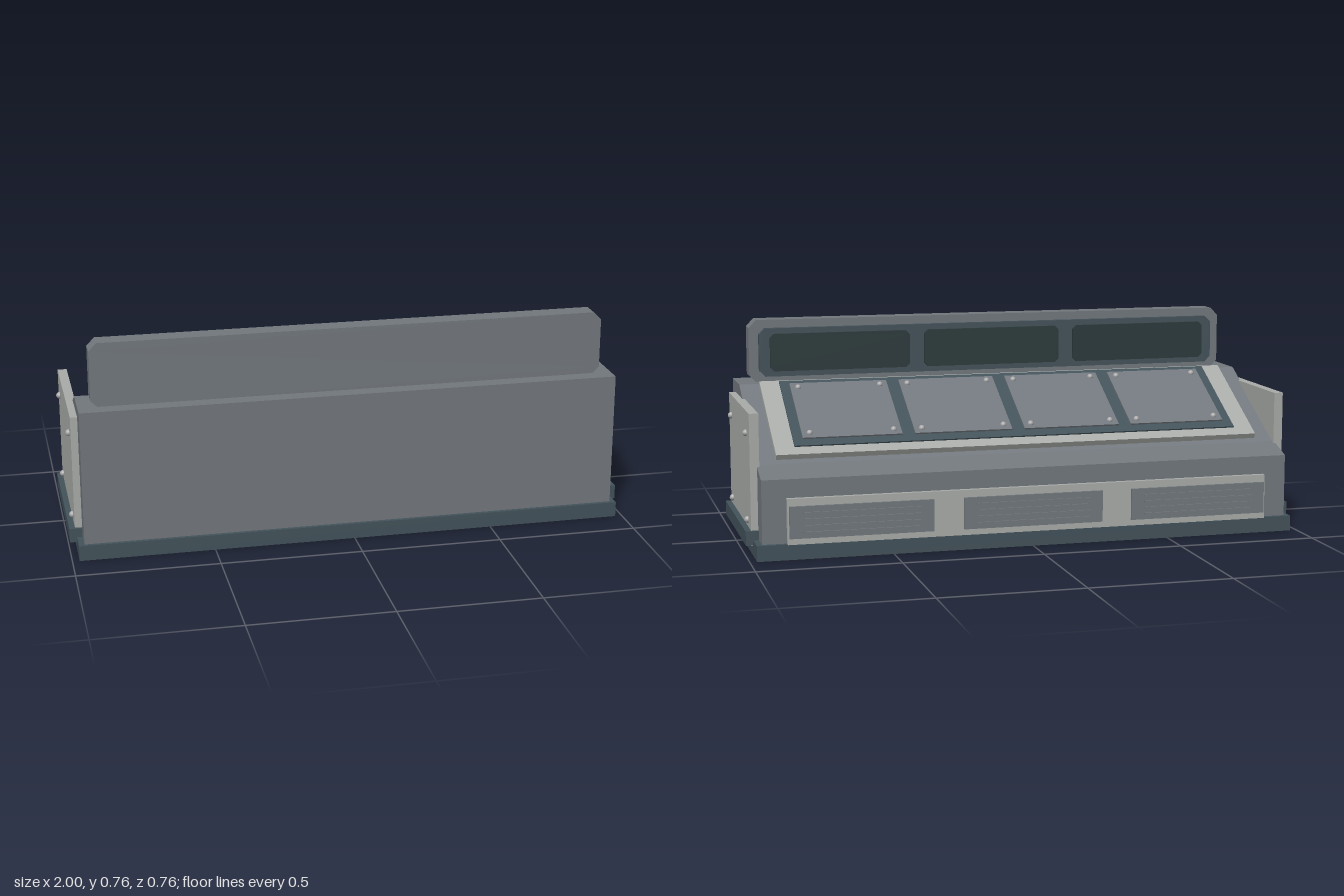
import * as THREE from 'three';

const paint = (color) => new THREE.MeshStandardMaterial({ color, flatShading: true });

export function createModel() {
  const root = new THREE.Group();
  const grey = paint(0x72787d), pale = paint(0xa9aca8), dark = paint(0x43525a), glass = paint(0x2c3a3c);
  const steel = new THREE.MeshStandardMaterial({ color: 0xaaaaaa });

  const add = (parent, name, geo, mat, x = 0, y = 0, z = 0) => {
    const mesh = new THREE.Mesh(geo, mat);
    mesh.name = name;
    mesh.position.set(x, y, z);
    parent.add(mesh);
    return mesh;
  };
  // Box given by its limits on each axis
  const box = (parent, name, mat, [x0, x1], [y0, y1], [z0, z1]) =>
    add(parent, name, new THREE.BoxGeometry(x1 - x0, y1 - y0, z1 - z0), mat,
      (x0 + x1) / 2, (y0 + y1) / 2, (z0 + z1) / 2);
  // Slab facing z with four cut corners
  const cutSlab = (name, mat, x, halfW, [y0, y1], [z0, z1], c) => {
    const w = halfW, h = (y1 - y0) / 2;
    const shape = new THREE.Shape([[-w + c, -h], [w - c, -h], [w, -h + c], [w, h - c],
      [w - c, h], [-w + c, h], [-w, h - c], [-w, -h + c]].map(p => new THREE.Vector2(...p)));
    const geo = new THREE.ExtrudeGeometry(shape, { depth: z1 - z0, bevelEnabled: false });
    return add(root, name, geo, mat, x, (y0 + y1) / 2, z0);
  };

  // Plinth
  box(root, 'base', dark, [-0.975, 0.975], [0, 0.055], [-0.36, 0.378]);

  // Desk body: side profile as (z, y), extruded across x
  const profile = [[0.365, 0.05], [0.365, 0.535], [0.18, 0.535], [-0.24, 0.313], [-0.345, 0.278], [-0.345, 0.05]];
  const bodyGeo = new THREE.ExtrudeGeometry(
    new THREE.Shape(profile.map(([z, y]) => new THREE.Vector2(-z, y))), { depth: 1.91, bevelEnabled: false });
  bodyGeo.translate(0, 0, -0.955).rotateY(Math.PI / 2);
  add(root, 'body', bodyGeo, grey);

  // Side panels with bolts and a lower rail
  for (const s of [-1, 1]) {
    const side = new THREE.Group();
    side.name = s > 0 ? 'leftSide' : 'rightSide';
    root.add(side);
    const span = (a, b) => s > 0 ? [a, b] : [-b, -a];
    box(side, 'sidePanel', pale, span(0.947, 0.98), [0.033, 0.494], [-0.255, 0.285]);
    box(side, 'sideRail', dark, span(0.95, 1), [0.037, 0.087], [-0.265, 0.295]);
    for (const y of [0.113, 0.418]) for (const z of [-0.185, 0.222])
      add(side, 'sideBolt', new THREE.SphereGeometry(0.012, 14, 10), steel, s * 0.982, y, z);
  }

  // Sloped console, built flat and tilted onto the desk
  const consoleGroup = new THREE.Group();
  consoleGroup.name = 'console';
  consoleGroup.position.set(0, 0.427, -0.025);
  consoleGroup.rotation.x = -Math.atan(0.528);
  root.add(consoleGroup);
  box(consoleGroup, 'consolePanel', pale, [-0.885, 0.885], [-0.005, 0.02], [-0.22, 0.22]);
  box(consoleGroup, 'consoleFrame', dark, [-0.815, 0.815], [0.015, 0.025], [-0.178, 0.21]);
  for (let i = 0; i < 4; i++) {
    const x = (i - 1.5) * 0.402;
    box(consoleGroup, 'consolePlate', grey, [x - 0.178, x + 0.178], [0.02, 0.031], [-0.142, 0.186]);
    for (const dx of [-0.15, 0.15]) for (const dz of [-0.137, 0.137])
      add(consoleGroup, 'plateBolt', new THREE.SphereGeometry(0.011, 12, 8), steel, x + dx, 0.031, 0.022 + dz);
  }

  // Display bar with three screens
  cutSlab('displayBar', grey, 0, 0.91, [0.53, 0.762], [0.24, 0.31], 0.028);
  cutSlab('displayBezel', dark, 0, 0.875, [0.555, 0.732], [0.22, 0.241], 0.022);
  for (const x of [-0.576, 0, 0.576])
    cutSlab('screen', glass, x, 0.26, [0.575, 0.712], [0.209, 0.221], 0.014);

  // Rear strip with slatted vents
  box(root, 'ventStrip', pale, [-0.87, 0.87], [0.053, 0.213], [-0.363, -0.34]);
  for (const x of [-0.612, 0, 0.612]) {
    box(root, 'ventPlate', grey, [x - 0.252, x + 0.252], [0.075, 0.187], [-0.372, -0.36]);
    for (let i = 0; i < 4; i++) {
      const y = 0.095 + i * 0.0227;
      box(root, 'ventSlat', grey, [x - 0.205, x + 0.205], [y - 0.0035, y + 0.0035], [-0.378, -0.37]);
    }
  }
  return root;
}
